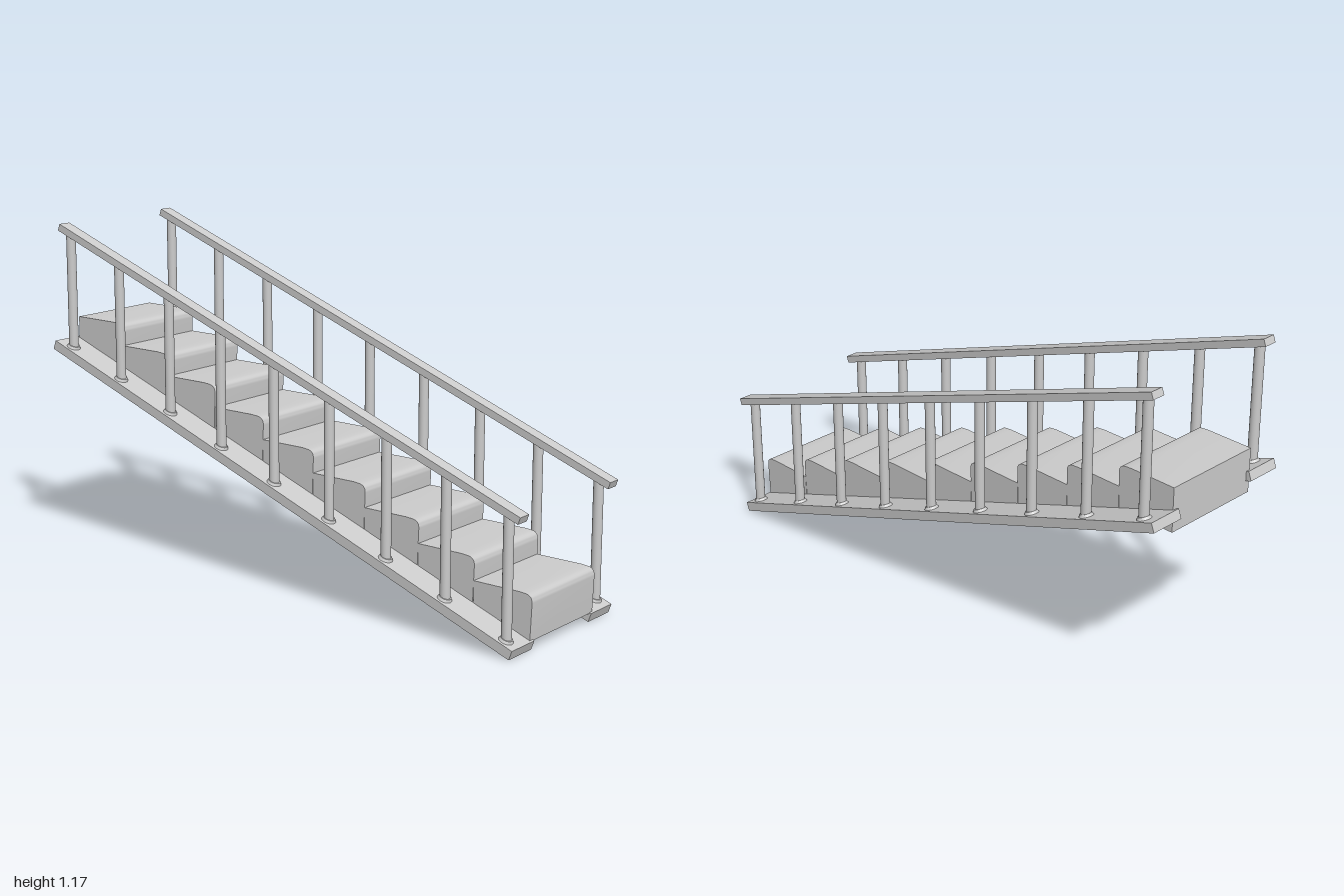
import * as THREE from 'three';
import { toCreasedNormals } from 'three/addons/utils/BufferGeometryUtils.js';

const STEPS = 9, POSTS = 9;
const SLOPE = Math.atan(0.365);
const material = new THREE.MeshStandardMaterial({ color: 0xcccccc });

function addMesh(parent, name, geometry, x, y, z, tilt = 0) {
  const mesh = new THREE.Mesh(geometry, material);
  mesh.name = name;
  mesh.position.set(x, y, z);
  mesh.rotation.z = tilt;
  parent.add(mesh);
  return mesh;
}

// Step block profile with a rounded nose, extruded across the stair
function stepGeometry() {
  const s = new THREE.Shape();
  s.moveTo(0, 0);
  s.lineTo(0.215, 0);
  s.lineTo(0.22, 0.125);
  s.quadraticCurveTo(0.221, 0.15, 0.195, 0.153);
  s.lineTo(0.17, 0.155);
  s.lineTo(0, 0.155);
  s.closePath();
  const g = new THREE.ExtrudeGeometry(s, { depth: 0.364, bevelEnabled: false, curveSegments: 6 });
  g.translate(0, 0, -0.182);
  return toCreasedNormals(g, 0.8);
}

export function createModel() {
  const model = new THREE.Group();
  model.name = 'staircase';

  // Steps, from the lowest upward
  const step = stepGeometry();
  for (let i = 0; i < STEPS; i++) {
    addMesh(model, `step${i + 1}`, step, 0.764 - i * 0.218, 0.03 + i * 0.08, 0);
  }

  // Stringer, posts and handrail on each side
  const stringer = new THREE.BoxGeometry(2.103, 0.033, 0.125);
  const handrail = new THREE.BoxGeometry(2.088, 0.025, 0.048);
  const foot = new THREE.CylinderGeometry(0.02, 0.025, 0.01, 20);
  for (const side of [1, -1]) {
    const flank = new THREE.Group();
    flank.name = side > 0 ? 'frontSide' : 'backSide';
    model.add(flank);
    addMesh(flank, 'stringer', stringer, -0.0075, 0.376, side * 0.229, -SLOPE);
    addMesh(flank, 'handrail', handrail, 0.015, 0.803, side * 0.259, -SLOPE);
    for (let i = 0; i < POSTS; i++) {
      const x = -0.931 + i * 0.2342;
      const bottom = 0.391 - 0.365 * x; // top face of the stringer
      const top = 0.808 - 0.365 * x; // centre of the handrail
      const post = new THREE.CylinderGeometry(0.017, 0.017, top - bottom, 20);
      addMesh(flank, 'post', post, x, (top + bottom) / 2, side * 0.258);
      addMesh(flank, 'postFoot', foot, x, bottom + 0.004, side * 0.258, -SLOPE);
    }
  }
  return model;
}
